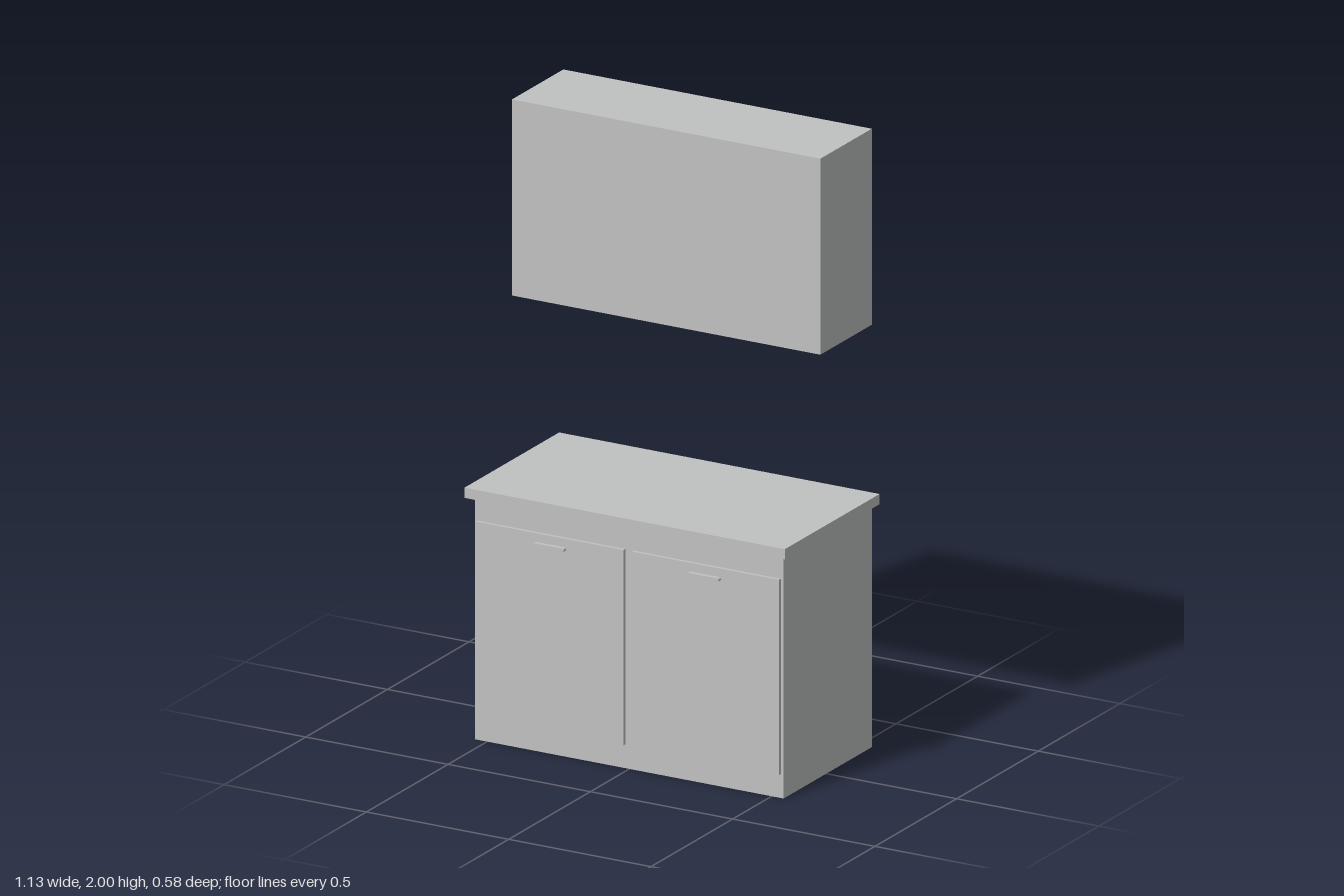
import * as THREE from 'three';

export function createModel() {
  const group = new THREE.Group();
  const grey = new THREE.MeshStandardMaterial({ color: 0xc0c2c1 });
  grey.name = 'light grey';

  function add(name, geometry) {
    const mesh = new THREE.Mesh(geometry, grey);
    mesh.name = name;
    group.add(mesh);
    return mesh;
  }

  // Box given by its minimum and maximum corners
  function box(name, [x0, y0, z0], [x1, y1, z1]) {
    const mesh = add(name, new THREE.BoxGeometry(x1 - x0, y1 - y0, z1 - z0));
    mesh.position.set((x0 + x1) / 2, (y0 + y1) / 2, (z0 + z1) / 2);
  }

  // Cabinets and worktop
  box('baseCabinet', [-0.542, 0, -0.279], [0.542, 0.786, 0.261]);
  box('worktop', [-0.563, 0.786, -0.29], [0.563, 0.819, 0.29]);
  box('wallCabinet', [-0.542, 1.366, -0.279], [0.542, 2, 0.036]);

  // Round-ended bar profile for the handles
  const half = 0.05, r = 0.006;
  const bar = new THREE.Shape();
  bar.absarc(half, 0, r, -Math.PI / 2, Math.PI / 2);
  bar.absarc(-half, 0, r, Math.PI / 2, Math.PI * 1.5);
  bar.closePath();
  const handleGeometry = new THREE.ExtrudeGeometry(bar, { depth: 0.014, bevelEnabled: false, curveSegments: 8 });

  // Doors with handles, mirrored left and right
  for (const [side, s] of [['left', 1], ['right', -1]]) {
    box(side + 'Door', [s * 0.273 - 0.259, 0.077, 0.261], [s * 0.273 + 0.259, 0.709, 0.272]);
    add(side + 'Handle', handleGeometry).position.set(s * 0.272, 0.675, 0.272);
  }

  return group;
}
